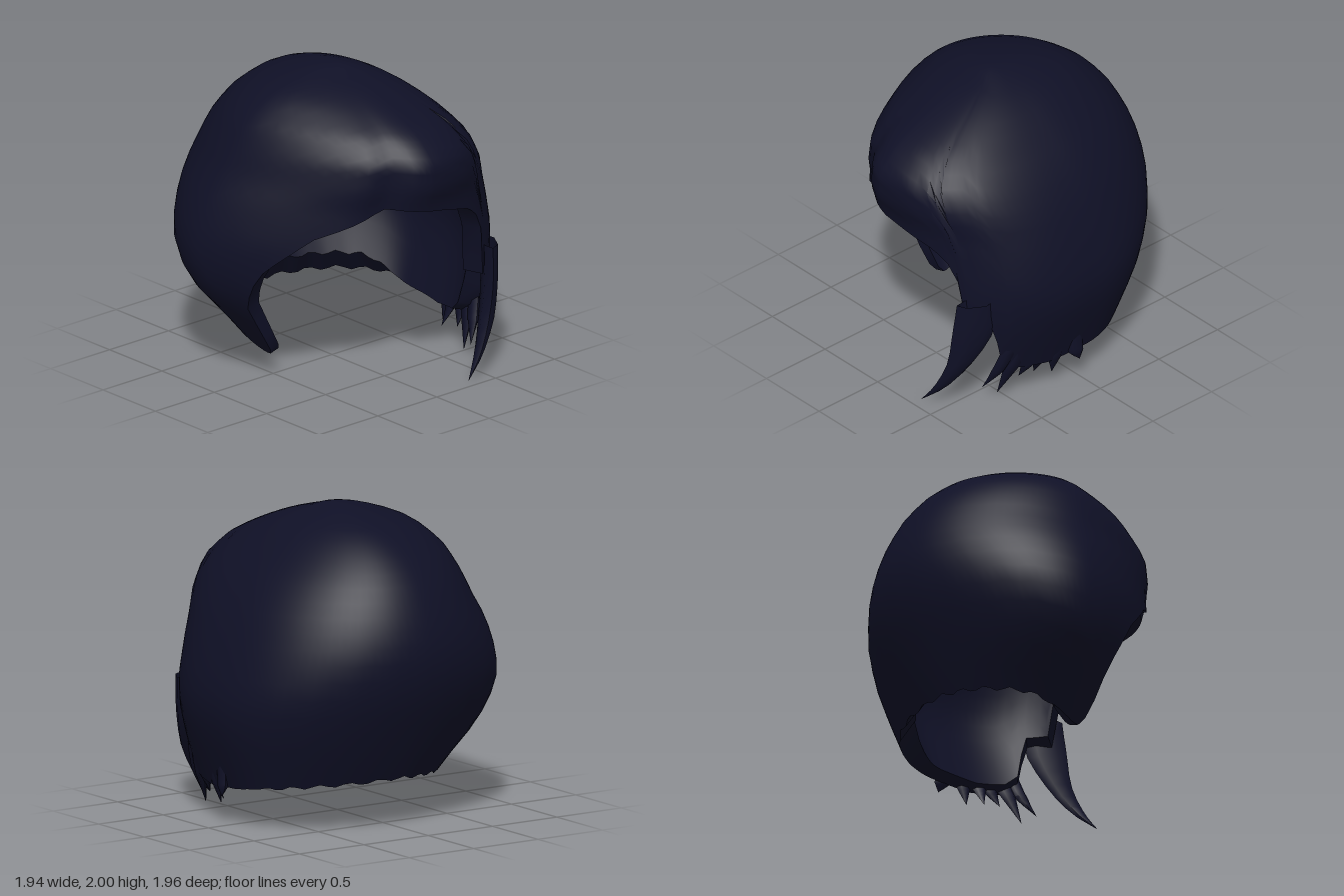
import * as THREE from 'three';
import { toCreasedNormals } from 'three/addons/utils/BufferGeometryUtils.js';

// Horizontal sections: y, left x, right x, front z, back z, z of the widest left point
const SECTIONS = [
  [2.0, 0, 0, 0.02, 0.02, 0.02], [1.97, 0.2, 0.14, 0.16, -0.22, 0.0],
  [1.87, 0.48, 0.36, 0.5, -0.53, -0.04], [1.72, 0.65, 0.54, 0.83, -0.73, -0.08],
  [1.57, 0.73, 0.68, 0.98, -0.85, -0.12], [1.4, 0.8, 0.79, 0.98, -0.93, -0.16],
  [1.27, 0.87, 0.85, 0.93, -0.97, -0.19], [1.14, 0.92, 0.9, 0.92, -0.985, -0.22],
  [1.0, 0.96, 0.94, 0.91, -0.97, -0.24], [0.87, 0.97, 0.97, 0.91, -0.94, -0.25],
  [0.7, 0.94, 0.97, 0.9, -0.87, -0.22], [0.55, 0.86, 0.93, 0.9, -0.8, -0.17],
  [0.4, 0.73, 0.88, 0.9, -0.73, -0.1], [0.25, 0.62, 0.83, 0.88, -0.65, -0.03],
  [0.1, 0.5, 0.78, 0.86, -0.58, 0.0],
];
// Lower edge of the hair: angle from the front toward the model's left, height
const RIM = [
  [-180, 0.32], [-150, 0.3], [-125, 0.27], [-105, 0.2], [-92, 0.15], [-84, 0.15],
  [-78, 0.32], [-72, 0.52], [-60, 0.82], [-45, 1.08], [-22, 1.28], [0, 1.24],
  [20, 1.15], [26, 1.08], [30, 0.95], [33, 0.62], [47, 0.62], [51, 0.34],
  [60, 0.25], [75, 0.22], [90, 0.24], [110, 0.27], [140, 0.3], [180, 0.32],
];

// Piecewise linear lookup in rows sorted by a rising key
function lookup(rows, key, x) {
  let i = 0;
  while (i < rows.length - 2 && key(rows[i + 1]) < x) i++;
  const a = key(rows[i]), b = key(rows[i + 1]);
  const t = THREE.MathUtils.clamp((x - a) / (b - a), 0, 1);
  return rows[i].map((v, k) => v + (rows[i + 1][k] - v) * t);
}

// Point on the outer surface at an angle and a height
function outerPoint(deg, y) {
  const [, left, right, front, back, leftZ] =
    lookup(SECTIONS, (r) => Math.sqrt(2 - r[0]), Math.sqrt(Math.max(0, 2 - y)));
  const a = THREE.MathUtils.degToRad(deg), s = Math.sin(a), c = Math.cos(a);
  const isLeft = s < 0, isFront = c > 0;
  const n = isFront ? (isLeft ? 1.58 : 2.5) : (isLeft ? 1.85 : 2.05);
  const mid = isLeft ? leftZ : Math.min(0.02, -0.02 + (y - 1) * 0.04);
  const x = Math.sign(s) * (isLeft ? left : right) * Math.abs(s) ** (2 / n);
  const z = mid + ((isFront ? front : back) - mid) * Math.abs(c) ** (2 / n);
  // Shallow groove where the fringe parts
  const groove = 0.06 * Math.exp(-(((deg + 24) / 6) ** 2)) * Math.min(1, Math.max(0, (1.9 - y) * 2));
  return new THREE.Vector3(x * (1 - groove), y, z * (1 - groove));
}

// Surface through rows of points; rows run downward, points run counter-clockwise
function loft(rows, crease) {
  const m = rows[0].length, index = [];
  for (let i = 0; i < rows.length - 1; i++) {
    for (let j = 0; j < m; j++) {
      const k = (j + 1) % m;
      const a = i * m + j, b = i * m + k, c = a + m, d = b + m;
      if (rows[i + 1][j].distanceTo(rows[i + 1][k]) > 1e-6) index.push(a, c, d);
      if (rows[i][j].distanceTo(rows[i][k]) > 1e-6) index.push(a, d, b);
    }
  }
  const g = new THREE.BufferGeometry().setFromPoints(rows.flat());
  g.setIndex(index);
  return toCreasedNormals(g, crease);
}

// Thick cap: outer wall down to the rim, inner wall back up to the crown
function capGeometry() {
  const columns = 96, rings = 22;
  const outer = [], inner = [];
  for (let i = 0; i <= rings; i++) {
    const t = i / rings, drop = 1 - Math.cos((t * Math.PI) / 2);
    const rowOut = [], rowIn = [];
    for (let j = 0; j < columns; j++) {
      const deg = -180 + (j * 360) / columns;
      const back = THREE.MathUtils.smoothstep(Math.abs(deg), 95, 130);
      const rim = lookup(RIM, (r) => r[0], deg)[1] + 0.012 * back * Math.sin(j * 1.7);
      const p = outerPoint(deg, 2 - (2 - rim) * drop);
      rowOut.push(p);
      const lift = 0.02 + 0.12 * back;
      rowIn.push(new THREE.Vector3(p.x * 0.87, p.y - 0.15 * (1 - drop) + lift * drop, p.z * 0.87));
    }
    outer.push(rowOut);
    inner.unshift(rowIn);
  }
  return loft([...outer, ...inner], 0.95);
}

// Flat tapering lock along a path; across is its width direction
function lockGeometry(points, halfWidths, thickness, across) {
  const curve = new THREE.CatmullRomCurve3(points.map((p) => new THREE.Vector3(...p)));
  const wide = new THREE.Vector3(...across).normalize();
  const thin = new THREE.Vector3(0, 1, 0).cross(wide).normalize();
  const steps = 10, sides = 6, rows = [];
  for (let i = 0; i <= steps; i++) {
    const t = i / steps, f = t * (halfWidths.length - 1), k = Math.min(halfWidths.length - 2, Math.floor(f));
    const w = THREE.MathUtils.lerp(halfWidths[k], halfWidths[k + 1], f - k);
    const centre = curve.getPoint(t), row = [];
    for (let j = 0; j < sides; j++) {
      const a = (j / sides) * Math.PI * 2;
      row.push(centre.clone().addScaledVector(wide, Math.cos(a) * w)
        .addScaledVector(thin, -Math.sin(a) * Math.min(thickness, w * 0.6)));
    }
    rows.push(row);
  }
  return loft(rows, 1.0);
}

export function createModel() {
  const group = new THREE.Group();
  const hair = new THREE.MeshStandardMaterial({ color: 0x0f1026, side: THREE.DoubleSide });
  hair.name = 'midnight blue hair';
  const add = (name, geometry) => {
    const mesh = new THREE.Mesh(geometry, hair);
    mesh.name = name;
    group.add(mesh);
  };

  add('hairCap', capGeometry());

  // Long pointed strand beside the face
  add('frontStrand', lockGeometry(
    [[0.66, 0.82, 0.76], [0.65, 0.6, 0.77], [0.58, 0.35, 0.82], [0.46, 0.14, 0.88], [0.33, 0, 0.93]],
    [0.12, 0.14, 0.085, 0.045, 0], 0.05, [-0.5, 0, 0.85]));

  // Ragged tips along the side: base x, z; tip x, y, z; half width
  const tips = [
    [0.74, 0.53, 0.6, 0.1, 0.65, 0.06], [0.77, 0.45, 0.63, 0.03, 0.55, 0.07],
    [0.79, 0.36, 0.69, 0.13, 0.42, 0.06], [0.81, 0.31, 0.68, 0.1, 0.28, 0.06],
    [0.82, 0.2, 0.76, 0.1, 0.2, 0.06], [0.83, 0.08, 0.86, 0.18, 0.05, 0.06],
  ];
  tips.forEach(([bx, bz, x, y, z, w], i) => add('sideTip' + (i + 1), lockGeometry(
    [[bx, 0.42, bz], [(bx * 1.1 + x * 0.9) / 2, 0.24, (bz * 1.1 + z * 0.9) / 2], [x, y, z]],
    [w, w * 0.85, 0], 0.035, [-0.3, 0, 1])));

  return group;
}
